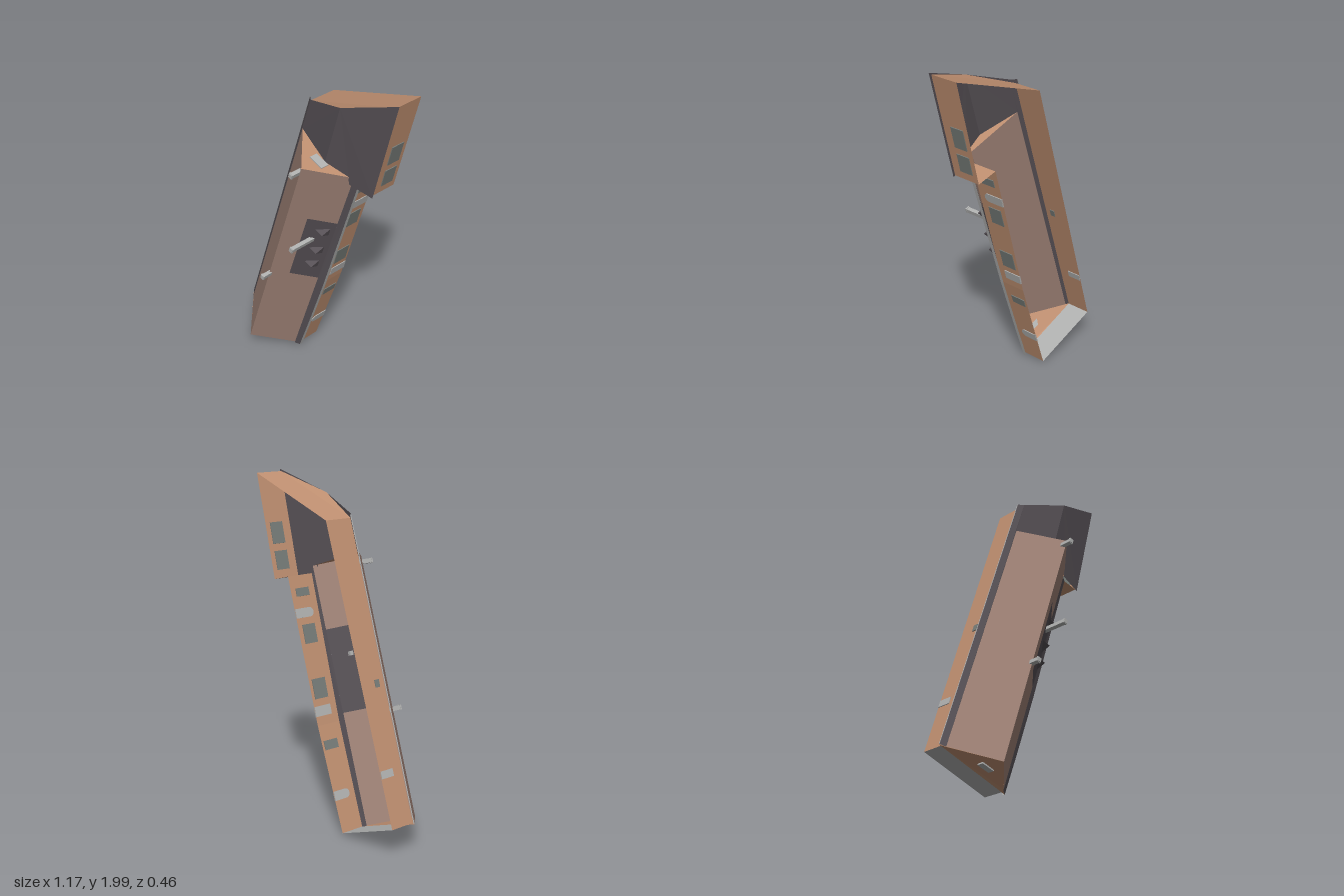
import * as THREE from 'three';

const mat = (name, color) => {
  const m = new THREE.MeshStandardMaterial({ color, side: THREE.DoubleSide });
  m.name = name;
  return m;
};

// Main wing frame: t across the ridge, s along it
const U = [0.312, 0.95], V = [0.95, -0.312], R0 = [-0.355, 0.085];
const P = (t, s, z) => [R0[0] + t * V[0] + s * U[0], R0[1] + t * V[1] + s * U[1], z];
const slope = t => 0.165 - 1.051 * t;          // right roof plane height
const wallFoot = y => -0.206 - 0.0165 * Math.min(y, 1.5);

export function createModel() {
  const brick = mat('brick', 0xc09071);
  const tile = mat('brown tile', 0xa08377);
  const slate = mat('dark slate', 0x565055);
  const glass = mat('window grey', 0x767c78);
  const pale = mat('pale grey', 0xb0b1b0);
  const root = new THREE.Group();
  root.name = 'building';

  const add = (name, geo, m) => {
    const mesh = new THREE.Mesh(geo, m);
    mesh.name = name;
    root.add(mesh);
    return mesh;
  };
  // Flat faces, each a convex loop of points
  const faces = (name, m, ...loops) => {
    const pos = [];
    for (const l of loops)
      for (let i = 1; i < l.length - 1; i++) pos.push(...l[0], ...l[i], ...l[i + 1]);
    const g = new THREE.BufferGeometry();
    g.setAttribute('position', new THREE.Float32BufferAttribute(pos, 3));
    g.computeVertexNormals();
    return add(name, g, m);
  };
  const roofPatch = (t0, t1, s0, s1) => [
    P(t0, s0, slope(t0)), P(t1, s0, slope(t1)), P(t1, s1, slope(t1)), P(t0, s1, slope(t0))];

  // Main roof
  faces('leftRoof', tile, [P(0, 0, 0.165), P(0, 1.52, 0.165), P(-0.222, 1.52, -0.04), P(-0.222, 0.01, -0.04)]);
  faces('rightRoof', tile, roofPatch(0, 0.195, 0, 0.66), roofPatch(0, 0.078, 0.66, 1.147),
    roofPatch(0, 0.195, 1.147, 1.52));
  faces('slatePatch', slate, roofPatch(0.078, 0.195, 0.66, 1.147));

  // Flared eaves
  faces('leftEave', slate, [P(-0.222, 0.01, -0.04), P(-0.25, 0.018, -0.065), [-0.06, 1.8, -0.065],
    [-0.03, 1.8, -0.04], P(-0.222, 1.52, -0.04)]);
  const rim = [[0.224, -0.01], [0.23, 0.25], [0.234, 0.62], [0.225, 1.48]];
  const inner = rim.map(([, s]) => P(0.195, s, -0.04));
  const outer = rim.map(([t, s]) => P(t, s, -0.058));
  faces('rightEave', slate, ...[0, 1, 2].map(i => [inner[i], outer[i], outer[i + 1], inner[i + 1]]));

  // Upper roof with a low ridge
  const c1 = [0.25, 1.888, 0.018], c0 = [0.145, 1.52, 0.018];
  faces('upperRoof', slate,
    [c1, [-0.03, 1.8, -0.04], P(-0.222, 1.52, -0.04), c0],
    [c1, [0.58, 2, -0.058], [0.425, 1.39, -0.058], [0.285, 1.425, -0.025], [0.285, 1.475, -0.02], c0]);

  // Gables
  faces('upperGable', brick, [P(-0.222, 1.52, -0.04), P(0, 1.52, 0.165), P(0.195, 1.52, -0.04)]);
  faces('lowerGable', brick, [P(-0.25, 0.014, -0.065), P(-0.222, 0.01, -0.04), P(0, 0, 0.165),
    P(0.195, 0, -0.04), P(0.224, -0.01, -0.06)]);

  // Walls
  const plan = [P(-0.232, 0.02), P(-0.24, 1.705), [0.565, 1.988], [0.415, 1.398], [0.29, 1.43],
    P(0.222, 0.62), P(0.212, 0)].map(p => p.slice(0, 2));
  const wall = (a, b, top) => [[...a, top], [...b, top], [...b, wallFoot(b[1])], [...a, wallFoot(a[1])]];
  faces('walls', brick, ...plan.slice(0, 6).map((a, i) => wall(a, plan[i + 1], -0.06)),
    [[...plan[1], -0.06], [...plan[2], -0.06], c1]);
  faces('endWall', pale, wall(plan[6], plan[0], -0.06));

  // Thin gutters under the eaves
  const gutter = (name, pts, z0, z1) => faces(name, pale, ...pts.slice(1).map((b, i) =>
    [[...pts[i], z0], [...b, z0], [...b, z1], [...pts[i], z1]]));
  gutter('rightGutter', outer.map(p => p.slice(0, 2)), -0.058, -0.08);
  gutter('leftGutter', [P(-0.25, 0.018).slice(0, 2), [-0.06, 1.8]], -0.063, -0.07);

  // Thin plate set in a wall running a -> b; outward is to the right of travel
  const plate = (name, m, a, b, from, to, z0, z1, arch) => {
    const d = new THREE.Vector3(b[0] - a[0], b[1] - a[1], 0).normalize();
    const n = new THREE.Vector3(d.y, -d.x, 0);
    const r = (to - from) / 2, s = new THREE.Shape();
    s.moveTo(from, z0);
    s.lineTo(to, z0);
    if (arch) s.absarc(from + r, z1 - r, r, 0, Math.PI, false);
    else s.lineTo(to, z1).lineTo(from, z1);
    const g = new THREE.ExtrudeGeometry(s, { depth: 0.009, bevelEnabled: false, curveSegments: 6 });
    g.translate(0, 0, -0.0045);
    g.applyMatrix4(new THREE.Matrix4().makeBasis(d, new THREE.Vector3(0, 0, 1), n).setPosition(a[0], a[1], 0));
    add(name, g, m);
  };
  // Same, placed by height y along the wall
  const plateAt = (name, m, a, b, y0, y1, ...rest) => {
    const k = Math.hypot(b[0] - a[0], b[1] - a[1]) / (b[1] - a[1]);
    const l = [(y0 - a[1]) * k, (y1 - a[1]) * k].sort((p, q) => p - q);
    plate(name, m, a, b, l[0], l[1], ...rest);
  };
  const [w0, w1, w2, w3, w4, w5, w6] = plan;
  for (const [a, b, y0, y1, z0, z1] of [
    [w3, w2, 1.59, 1.71, -0.2, -0.115], [w3, w2, 1.445, 1.55, -0.2, -0.115],
    [w5, w4, 1.315, 1.36, -0.195, -0.105], [w5, w4, 1.055, 1.16, -0.195, -0.108],
    [w5, w4, 0.75, 0.86, -0.2, -0.108], [w6, w5, 0.47, 0.52, -0.2, -0.105],
    [w1, w0, 0.9, 0.94, -0.125, -0.095]])
    plateAt('window', glass, a, b, y0, y1, z0, z1, false);
  plateAt('archedDoor', pale, w5, w4, 1.198, 1.25, -0.225, -0.1, true);
  plateAt('archedDoor', pale, w6, w5, 0.195, 0.245, -0.208, -0.1, true);
  plateAt('door', pale, w5, w4, 0.655, 0.71, -0.217, -0.105, false);
  plateAt('sideDoor', pale, w1, w0, 0.44, 0.48, -0.21, -0.125, false);

  // Gable windows
  plate('gableWindow', pale, P(0.195, 1.52), P(-0.222, 1.52), 0.14, 0.235, 0.02, 0.07, false);
  plate('gableWindow', pale, P(-0.222, 0), P(0.195, 0), 0.18, 0.26, 0.01, 0.05, false);

  // Small pointed dormers
  for (const s of [1.07, 0.913, 0.79]) {
    const l = P(0.177, s - 0.027, -0.02), r = P(0.177, s + 0.027, -0.02);
    const peak = P(0.177, s, 0.038), tip = P(0.121, s, 0.038);
    faces('dormer', slate, [l, r, peak], [l, peak, tip], [r, tip, peak]);
  }

  // Chimneys with caps
  for (const [x, y, z0, z1] of [[0.097, 1.497, 0.12, 0.225], [0.066, 0.985, 0.03, 0.2], [-0.16, 0.68, 0.13, 0.222]]) {
    const g = new THREE.Group();
    g.name = 'chimney';
    const stack = new THREE.Mesh(new THREE.BoxGeometry(0.023, 0.025, z1 - z0), pale);
    stack.name = 'stack';
    const cap = new THREE.Mesh(new THREE.BoxGeometry(0.028, 0.03, 0.008), pale);
    cap.name = 'cap';
    cap.position.z = (z1 - z0) / 2 - 0.008;
    g.add(stack, cap);
    g.position.set(x, y, (z0 + z1) / 2);
    g.rotation.z = -Math.atan2(U[0], U[1]);
    root.add(g);
  }
  return root;
}
